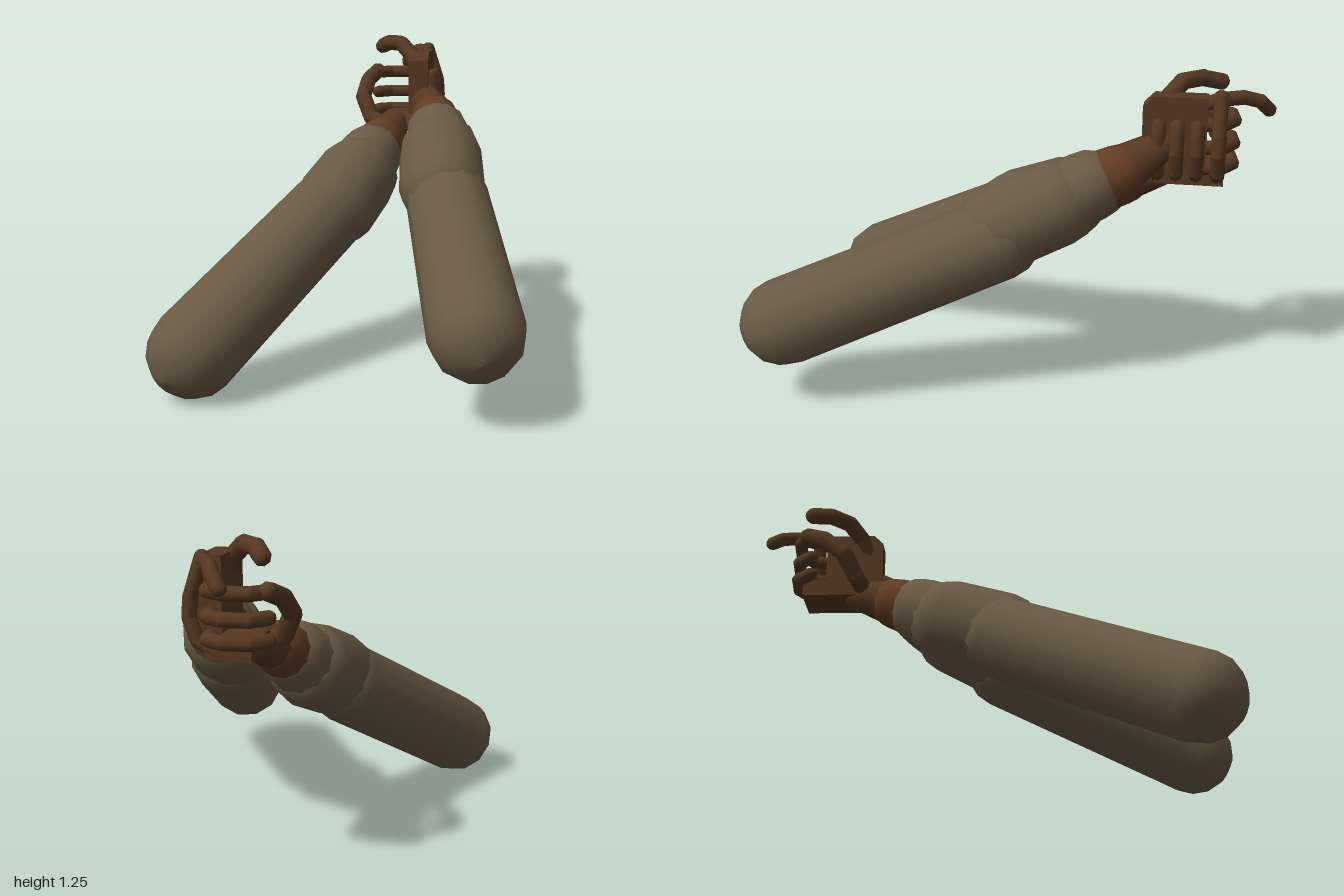
import * as THREE from 'three';

const sleeveMat = new THREE.MeshStandardMaterial({ color: 0x6b5b45 });
sleeveMat.name = 'sleeve cloth';
const wristMat = new THREE.MeshStandardMaterial({ color: 0x633d24 });
wristMat.name = 'wrist brown';
const handMat = new THREE.MeshStandardMaterial({ color: 0x553822 });
handMat.name = 'hand brown';

const UP = new THREE.Vector3(0, 1, 0);

// Round-ended limb between two points; the radius may taper from r1 to r2
function limb(name, a, b, r1, r2, mat, sides = 12) {
  const p = new THREE.Vector3(...a), q = new THREE.Vector3(...b);
  const dir = q.clone().sub(p), len = dir.length();
  const profile = [];
  const caps = 4;
  for (let i = 0; i <= caps; i++) {
    const t = (i / caps) * Math.PI / 2;
    profile.push(new THREE.Vector2(r1 * Math.sin(t), -r1 * Math.cos(t)));
  }
  for (let i = 0; i <= caps; i++) {
    const t = (i / caps) * Math.PI / 2;
    profile.push(new THREE.Vector2(r2 * Math.cos(t), len + r2 * Math.sin(t)));
  }
  const mesh = new THREE.Mesh(new THREE.LatheGeometry(profile, sides), mat);
  mesh.name = name;
  mesh.position.copy(p);
  mesh.quaternion.setFromUnitVectors(UP, dir.normalize());
  return mesh;
}

// Finger made of jointed segments through a few points
function finger(name, points, r) {
  const g = new THREE.Group();
  g.name = name;
  for (let i = 0; i < points.length - 1; i++) {
    g.add(limb('fingerSegment', points[i], points[i + 1], r, r, handMat, 8));
  }
  return g;
}

// Palm block, chamfered along two edges of its outline
function palm(name, w, h, d, position) {
  const c = 0.04, s = new THREE.Shape();
  s.moveTo(-d / 2, -h / 2);
  s.lineTo(d / 2, -h / 2);
  s.lineTo(d / 2, h / 2 - c);
  s.lineTo(d / 2 - c, h / 2);
  s.lineTo(-d / 2, h / 2);
  s.closePath();
  const geo = new THREE.ExtrudeGeometry(s, { depth: w, bevelEnabled: false });
  geo.translate(0, 0, -w / 2);
  geo.rotateY(-Math.PI / 2); // outline x becomes z
  const mesh = new THREE.Mesh(geo, handMat);
  mesh.name = name;
  mesh.position.set(...position);
  return mesh;
}

// Sleeve and wrist along a chain of joints
function arm(name, j) {
  const g = new THREE.Group();
  g.name = name;
  g.add(limb('forearmSleeve', j.elbow, j.mid, 0.172, 0.165, sleeveMat));
  g.add(limb('sleeveFold', j.foldStart, j.foldEnd, 0.172, 0.17, sleeveMat));
  g.add(limb('sleeveEnd', j.foldEnd, j.cuff, 0.15, 0.135, sleeveMat));
  g.add(limb('wristBand', j.cuff, j.wrist, 0.115, 0.105, wristMat));
  g.add(limb('handBase', j.wrist, j.hand, 0.1, 0.06, handMat, 10));
  return g;
}

export function createModel() {
  const model = new THREE.Group();
  model.name = 'claspedArms';

  const left = arm('leftArm', {
    elbow: [0.515, 0.325, 0.825], mid: [0.325, 0.65, 0.02],
    foldStart: [0.305, 0.685, 0.02], foldEnd: [0.275, 0.785, -0.19],
    cuff: [0.25, 0.855, -0.31], wrist: [0.225, 0.905, -0.42], hand: [0.155, 1.0, -0.58],
  });
  const right = arm('rightArm', {
    elbow: [-0.515, 0.173, 0.72], mid: [-0.155, 0.575, 0.02],
    foldStart: [-0.125, 0.6, 0.02], foldEnd: [-0.075, 0.685, -0.19],
    cuff: [-0.04, 0.755, -0.31], wrist: [-0.01, 0.805, -0.42], hand: [0.03, 0.86, -0.58],
  });

  // Left hand: upright palm, pointing index, three curled fingers, thumb on top
  const leftHand = new THREE.Group();
  leftHand.name = 'leftHand';
  leftHand.add(palm('leftPalm', 0.085, 0.27, 0.24, [0.14, 1.055, -0.62]));
  leftHand.add(finger('leftIndex', [[0.145, 1.15, -0.7], [0.145, 1.18, -0.78],
    [0.095, 1.18, -0.87], [0.065, 1.16, -0.93], [0.03, 1.12, -0.965]], 0.028));
  for (const y of [1.08, 0.99, 0.91]) {
    leftHand.add(finger('leftCurledFinger', [[0.14, y, -0.7], [0.13, y, -0.8],
      [0.06, y, -0.84], [-0.03, y, -0.83], [-0.08, y, -0.77]], 0.027));
  }
  leftHand.add(finger('leftThumb', [[0.14, 1.08, -0.54], [0.1, 1.17, -0.59],
    [0.045, 1.22, -0.64], [-0.02, 1.22, -0.71], [-0.06, 1.2, -0.78]], 0.034));
  left.add(leftHand);

  // Right hand: flat palm underneath, fingers rising on the far side, thumb on the near side
  const rightHand = new THREE.Group();
  rightHand.name = 'rightHand';
  const flat = palm('rightPalm', 0.17, 0.07, 0.26, [0.055, 0.875, -0.68]);
  rightHand.add(flat);
  [-0.56, -0.63, -0.705, -0.785].forEach((z, i) => {
    const top = i === 3 ? 1.19 : 1.08;
    rightHand.add(finger('rightFinger', [[0.1, 0.86, z], [0.17, 0.9, z],
      [0.2, 0.98, z], [0.195, 1.05, z], [i === 3 ? 0.15 : 0.185, top, z]], 0.028));
  });
  rightHand.add(finger('rightThumb', [[0, 0.86, -0.55], [-0.08, 0.89, -0.58],
    [-0.125, 0.98, -0.63], [-0.115, 1.05, -0.71], [-0.085, 1.085, -0.79]], 0.035));
  right.add(rightHand);

  model.add(left, right);
  return model;
}
